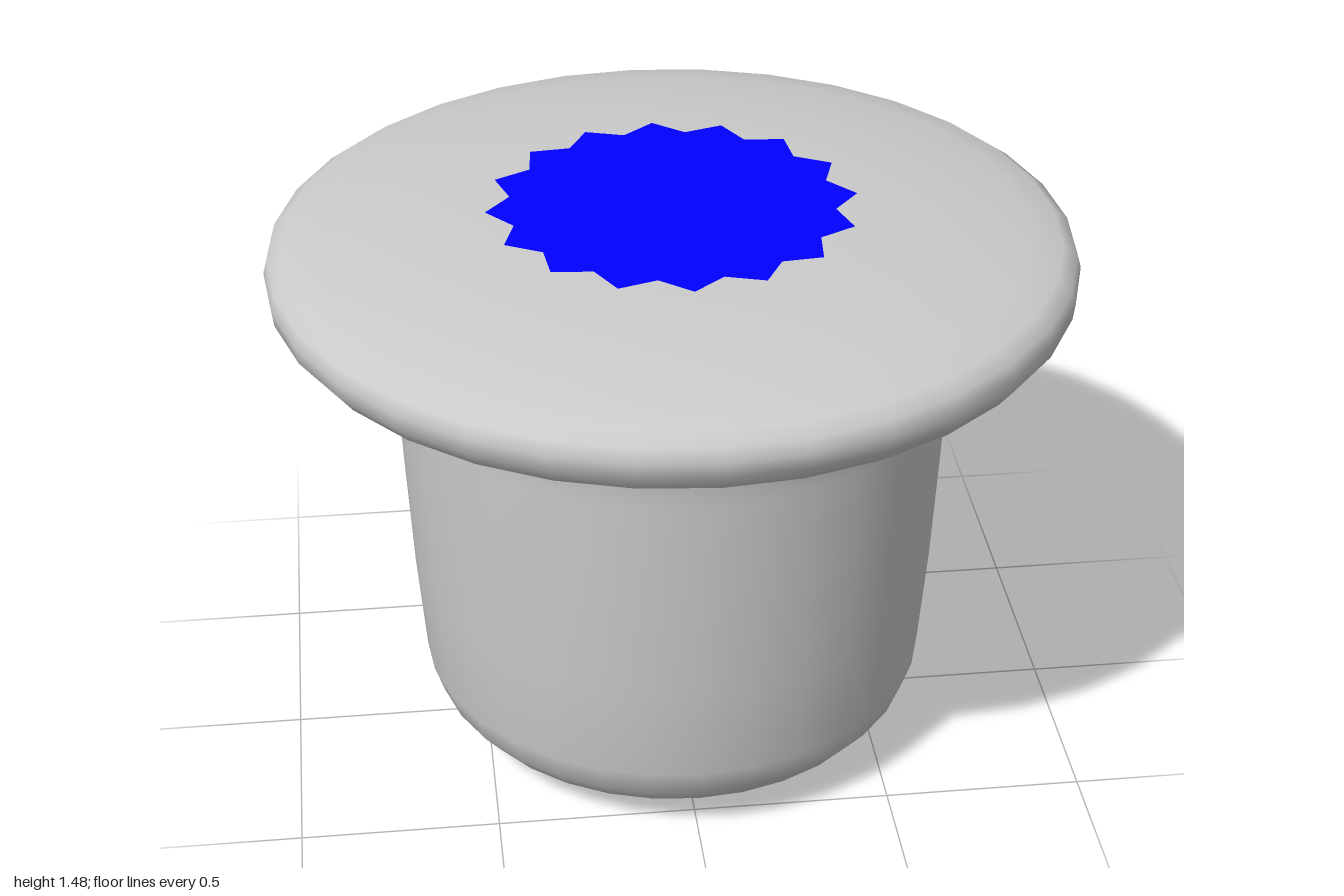
import * as THREE from 'three';

export function createModel() {
  const group = new THREE.Group();

  // Plug: tapered round-bottomed stem flaring into a wide rounded cap
  const profile = [
    [0, 0.01], [0.2, 0.017], [0.39, 0.03], [0.5, 0.06], [0.58, 0.11], [0.625, 0.165], [0.65, 0.24],
    [0.67, 0.5], [0.685, 0.8], [0.695, 1.05], [0.697, 1.14], [0.715, 1.165],
    [0.79, 1.2], [0.89, 1.235], [0.96, 1.275], [0.995, 1.32], [1, 1.36], [0.99, 1.395], [0.955, 1.42],
    [0.88, 1.435], [0.8, 1.45], [0.65, 1.472], [0.46, 1.485], [0.3, 1.49], [0, 1.49],
  ].map(([r, y]) => new THREE.Vector2(r, y));
  const plug = new THREE.Mesh(
    new THREE.LatheGeometry(profile, 32),
    new THREE.MeshStandardMaterial({ color: 0xcccccc }),
  );
  plug.name = 'plug';
  group.add(plug);

  // Sixteen-pointed star inlay on the cap
  const points = [];
  for (let i = 0; i < 32; i++) {
    const a = (i / 32) * Math.PI * 2;
    const r = i % 2 ? 0.4 : 0.457;
    points.push(new THREE.Vector2(Math.cos(a) * r, Math.sin(a) * r));
  }
  const star = new THREE.Mesh(
    new THREE.ShapeGeometry(new THREE.Shape(points)).rotateX(-Math.PI / 2),
    new THREE.MeshStandardMaterial({ color: 0x0000ff }),
  );
  star.position.y = 1.494;
  star.name = 'starInlay';
  group.add(star);

  return group;
}
